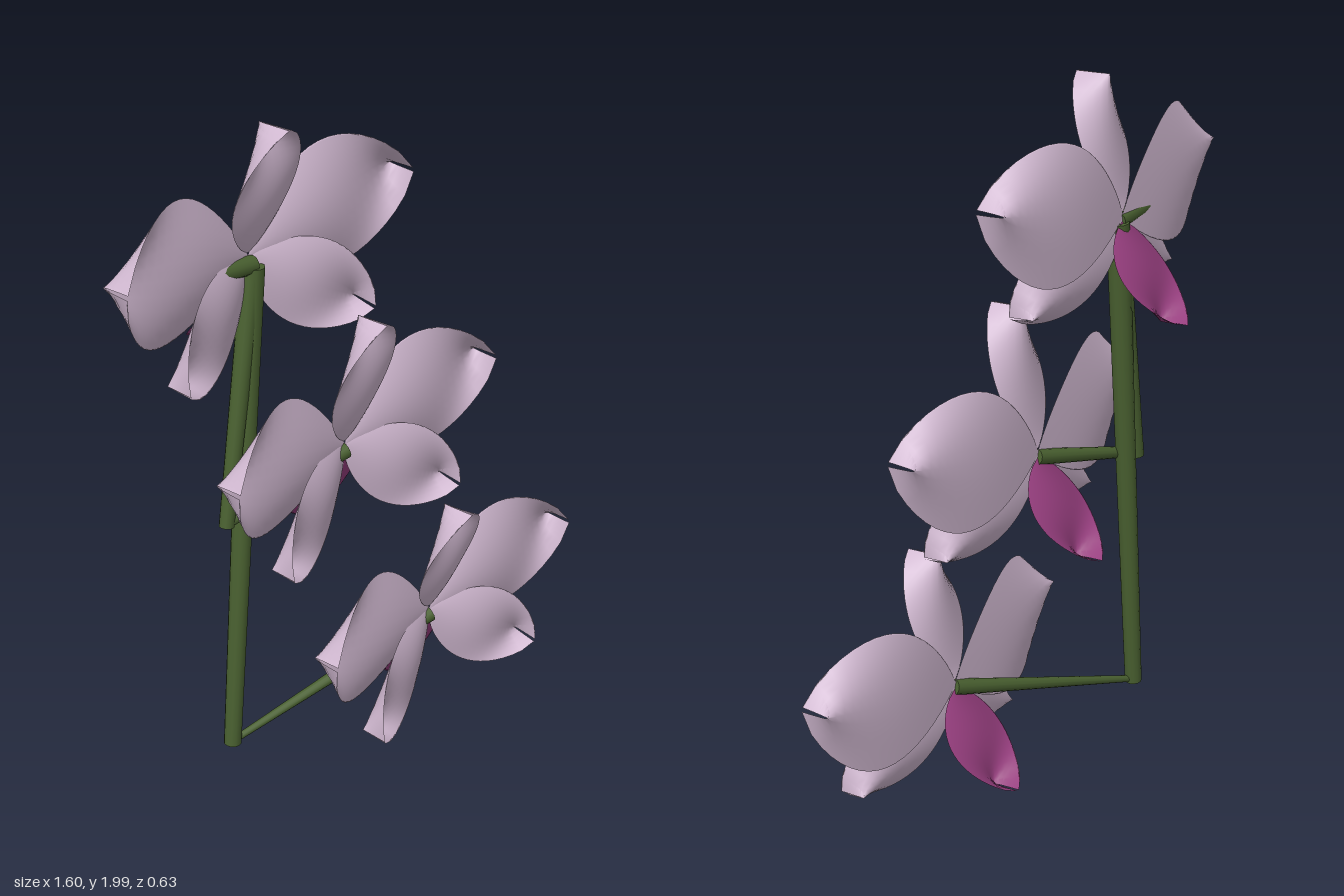
import * as THREE from 'three';

const petalMat = new THREE.MeshStandardMaterial({ color: 0xd0b8d0, side: THREE.DoubleSide });
petalMat.name = 'pale lilac';
const lipMat = new THREE.MeshStandardMaterial({ color: 0x963e7e, side: THREE.DoubleSide });
lipMat.name = 'magenta';
const stemMat = new THREE.MeshStandardMaterial({ color: 0x496030 });
stemMat.name = 'stem green';

// Fleshy petal growing along +y: a closed skin, plump towards +z in the middle
// and pinched into a forward fold at its tip.
// rise: forward lean of the midrib, bow: backward belly of the midrib,
// plump: thickness, grow: how late the fold deepens
function petal(name, mat, o) {
  const { length, half, depth, rise, plump, bow = 0, full = 0.65, skew = 1.05, curl = 1, grow = 1.6 } = o;
  const geo = new THREE.PlaneGeometry(2, 1, 28, 18);
  const p = geo.attributes.position;
  for (let i = 0; i < p.count; i++) {
    const a = p.getX(i) * Math.PI, v = -Math.cos(a);
    const u = Math.min(1, Math.max(0, p.getY(i) + 0.5));
    const arch = Math.max(0, Math.sin(Math.PI * u));
    const w = Math.max(0.03, Math.pow(Math.max(0, Math.sin(Math.PI * Math.pow(u, skew))), full));
    const rib = rise * Math.pow(u, curl) - bow * arch;
    const front = a > 0 ? plump * arch * (1 - v * v) : 0;
    p.setXYZ(i, half * w * v, length * u, rib + depth * Math.pow(u, grow) * v * v + front);
  }
  geo.computeVertexNormals();
  const mesh = new THREE.Mesh(geo, mat);
  mesh.name = name;
  return mesh;
}

// Tapered round stalk between two points
function stalk(name, a, b, ra, rb) {
  const from = new THREE.Vector3(...a), to = new THREE.Vector3(...b);
  const dir = to.clone().sub(from);
  const mesh = new THREE.Mesh(new THREE.CylinderGeometry(rb, ra, dir.length(), 12), stemMat);
  mesh.name = name;
  mesh.position.copy(from).add(to).multiplyScalar(0.5);
  mesh.quaternion.setFromUnitVectors(new THREE.Vector3(0, 1, 0), dir.normalize());
  return mesh;
}

function flower(topLength) {
  const g = new THREE.Group();
  g.name = 'flower';

  // upright top sepal
  const top = petal('topSepal', petalMat,
    { length: topLength, half: 0.122, depth: 0.105, rise: 0.045, curl: 0.7, plump: 0.045 });
  top.position.y = 0.015;
  g.add(top);

  // mirrored broad petals and lower sepals, turned slightly to one side
  const sides = new THREE.Group();
  sides.name = 'sidePetals';
  sides.rotation.y = -0.08;
  g.add(sides);
  for (const s of [1, -1]) {
    const side = s > 0 ? 'left' : 'right';
    const wing = petal(side + 'Petal', petalMat,
      { length: 0.55, half: 0.2, depth: 0.09, rise: 0.025, bow: 0.02, plump: 0.06, full: 0.65, skew: 1.22, grow: 2.4 });
    wing.rotation.z = -s * 1.36;
    sides.add(wing);

    const lower = petal(side + 'LowerSepal', petalMat,
      { length: 0.425, half: 0.126, depth: 0.085, rise: 0.055, plump: 0.045, full: 0.62, skew: 1.1 });
    lower.rotation.set(0, s * 0.12, -s * 2.11, 'ZYX');
    sides.add(lower);
  }

  // lip hanging down and sweeping backwards
  const lip = petal('lip', lipMat,
    { length: 0.275, half: 0.125, depth: 0.085, rise: 0.125, curl: 1.8, plump: 0.05, grow: 1.3 });
  lip.rotation.x = Math.PI;
  lip.position.y = -0.015;
  g.add(lip);
  return g;
}

export function createModel() {
  const model = new THREE.Group();
  model.name = 'orchidSpray';

  // three blossoms stepping down and forwards
  const tops = [0.385, 0.415, 0.38];
  tops.forEach((len, i) => {
    const f = flower(len);
    f.position.set(-0.26 + 0.26 * i, 1.6 - 0.652 * i, -0.1 + 0.125 * i);
    model.add(f);
  });

  // stems and flower stalks
  model.add(
    stalk('mainStem', [-0.395, 0.08, -0.085], [-0.26, 1.58, -0.085], 0.026, 0.034),
    stalk('upperStem', [-0.395, 0.83, -0.085], [-0.265, 1.57, -0.085], 0.022, 0.03),
    stalk('topStalk', [-0.395, 1.6, -0.095], [-0.26, 1.585, -0.085], 0.024, 0.026),
    stalk('middleStalk', [-0.4, 0.84, -0.085], [0, 0.935, 0.03], 0.016, 0.024),
    stalk('lowerStalk', [-0.395, 0.085, -0.085], [0.26, 0.285, 0.155], 0.01, 0.024),
  );
  return model;
}
